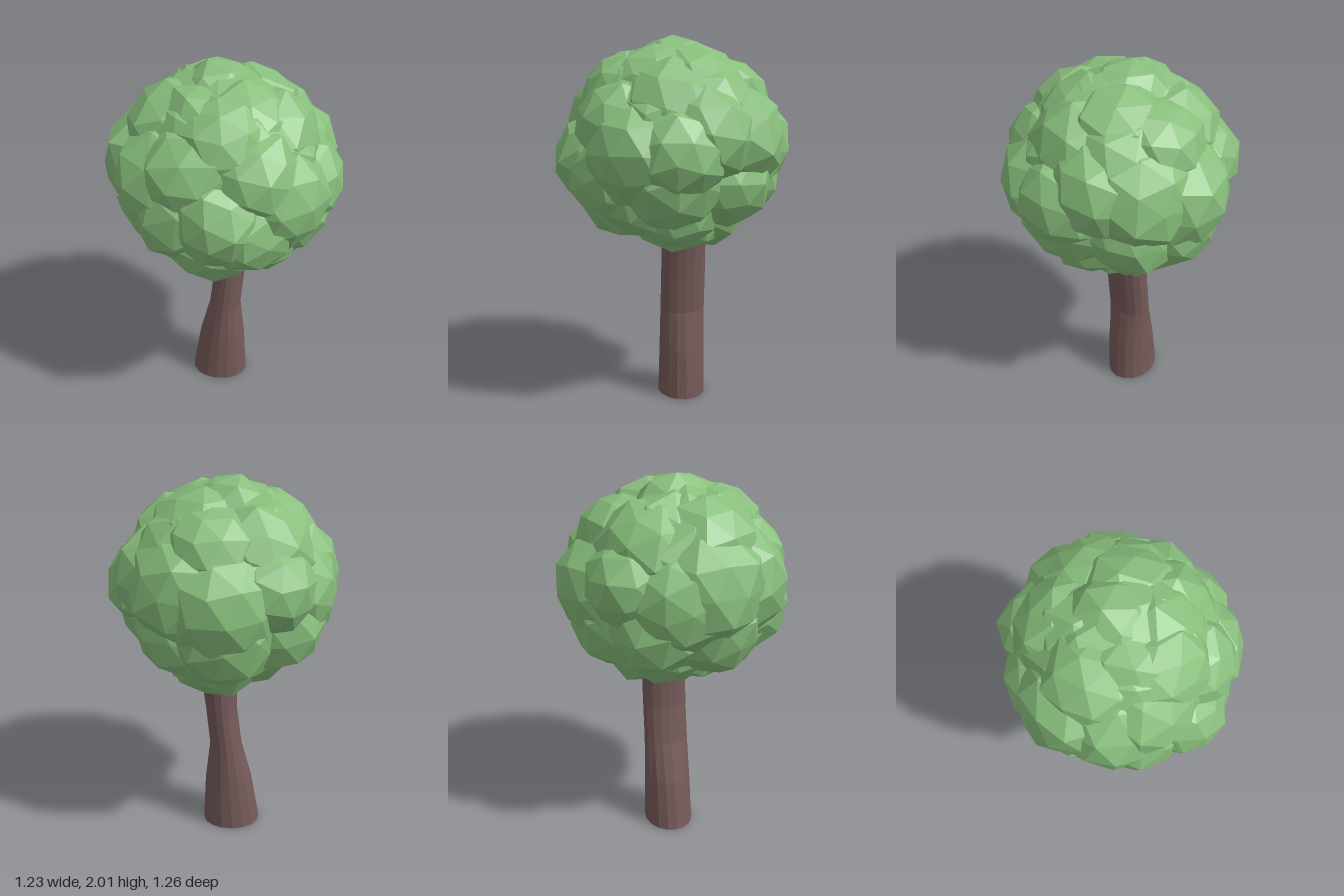
import * as THREE from 'three';

const leafGreen = new THREE.MeshStandardMaterial({ color: 0x88be7c });
const barkBrown = new THREE.MeshStandardMaterial({ color: 0x755b59 });
leafGreen.name = 'leafGreen';
barkBrown.name = 'barkBrown';

const CANOPY_Y = 1.44;

// Repeatable 0..1 value for a point, so coincident corners move together
function hash(v, seed) {
  const q = (n) => Math.round(n * 1000);
  const s = Math.sin(q(v.x) * 12.9898 + q(v.y) * 78.233 + q(v.z) * 37.719 + seed * 4.137) * 43758.5453;
  return s - Math.floor(s);
}

// Faceted ball of leaves with uneven corners
function leafBall(name, centre, radius, detail, seed) {
  const geo = new THREE.IcosahedronGeometry(1, detail);
  const pos = geo.attributes.position;
  const v = new THREE.Vector3();
  for (let i = 0; i < pos.count; i++) {
    v.fromBufferAttribute(pos, i);
    v.multiplyScalar(radius * (0.94 + 0.12 * hash(v, seed)));
    pos.setXYZ(i, v.x, v.y, v.z);
  }
  geo.rotateX(seed * 1.7);
  geo.rotateY(seed * 2.3);
  geo.translate(centre.x, centre.y, centre.z);
  geo.computeVertexNormals();
  const mesh = new THREE.Mesh(geo, leafGreen);
  mesh.name = name;
  return mesh;
}

// Bent trunk from oval rings: [y, centre x, half width x, half depth z]
function trunk() {
  const rings = [
    [0, -0.043, 0.161, 0.132],
    [0.28, -0.026, 0.131, 0.128],
    [0.5, -0.01, 0.089, 0.125],
    [0.72, 0.014, 0.086, 0.124],
    [0.9, 0.025, 0.098, 0.123],
    [1.1, 0.03, 0.1, 0.12],
  ];
  const sides = 16;
  const geo = new THREE.CylinderGeometry(1, 1, 1, sides, rings.length - 1).toNonIndexed();
  const pos = geo.attributes.position;
  for (let i = 0; i < pos.count; i++) {
    const [y, cx, rx, rz] = rings[Math.round((pos.getY(i) + 0.5) * (rings.length - 1))];
    pos.setXYZ(i, cx + pos.getX(i) * rx, y, -0.064 + pos.getZ(i) * rz);
  }
  geo.computeVertexNormals();
  const mesh = new THREE.Mesh(geo, barkBrown);
  mesh.name = 'trunk';
  return mesh;
}

export function createModel() {
  const tree = new THREE.Group();
  tree.name = 'tree';
  tree.add(trunk());

  const canopy = new THREE.Group();
  canopy.name = 'canopy';
  canopy.add(leafBall('canopyCore', new THREE.Vector3(0, CANOPY_Y, 0), 0.52, 2, 1));

  // Outermost point of each clump, measured from the canopy centre
  const tips = [
    // crown
    [-0.04, 0.56, -0.03], [0.24, 0.48, -0.16], [-0.25, 0.46, -0.15],
    [0.04, 0.42, 0.4], [-0.41, 0.4, 0.13], [0.42, 0.35, 0.12],
    [0.1, 0.37, -0.45], [-0.3, 0.35, -0.36], [0.34, 0.32, -0.32],
    [-0.15, 0.46, 0.27], [0.22, 0.47, 0.2],
    // middle
    [0.37, 0.1, -0.49], [-0.34, 0.1, -0.5], [-0.58, -0.02, -0.19],
    [-0.62, 0.08, 0.1], [0.62, -0.03, 0.07], [0.54, 0.13, -0.2],
    [0.03, 0.01, -0.63], [0.05, -0.11, 0.62], [0.49, -0.05, 0.38],
    [-0.45, 0.05, 0.41], [0.3, 0.2, 0.47], [-0.2, 0.2, 0.51],
    // underside
    [-0.28, -0.18, 0.49], [0.25, -0.22, 0.52], [-0.51, -0.28, 0.15],
    [0.53, -0.26, 0.12], [0.37, -0.28, -0.4], [-0.43, -0.26, -0.33],
    [0.03, -0.28, -0.55], [0.33, -0.49, 0.02], [0.08, -0.53, -0.28],
    [0.14, -0.56, -0.06], [-0.2, -0.5, 0.1], [-0.04, -0.42, 0.43],
    [-0.22, -0.48, -0.2], [0.31, -0.38, 0.32], [-0.3, -0.4, 0.29],
  ];
  tips.forEach((tip, i) => {
    const radius = 0.25 + 0.025 * (i % 3);
    const centre = new THREE.Vector3(...tip);
    centre.setLength(centre.length() - radius * 0.98);
    centre.y += CANOPY_Y;
    canopy.add(leafBall(`leafClump${i + 1}`, centre, radius, 1, i + 2));
  });
  tree.add(canopy);
  return tree;
}
